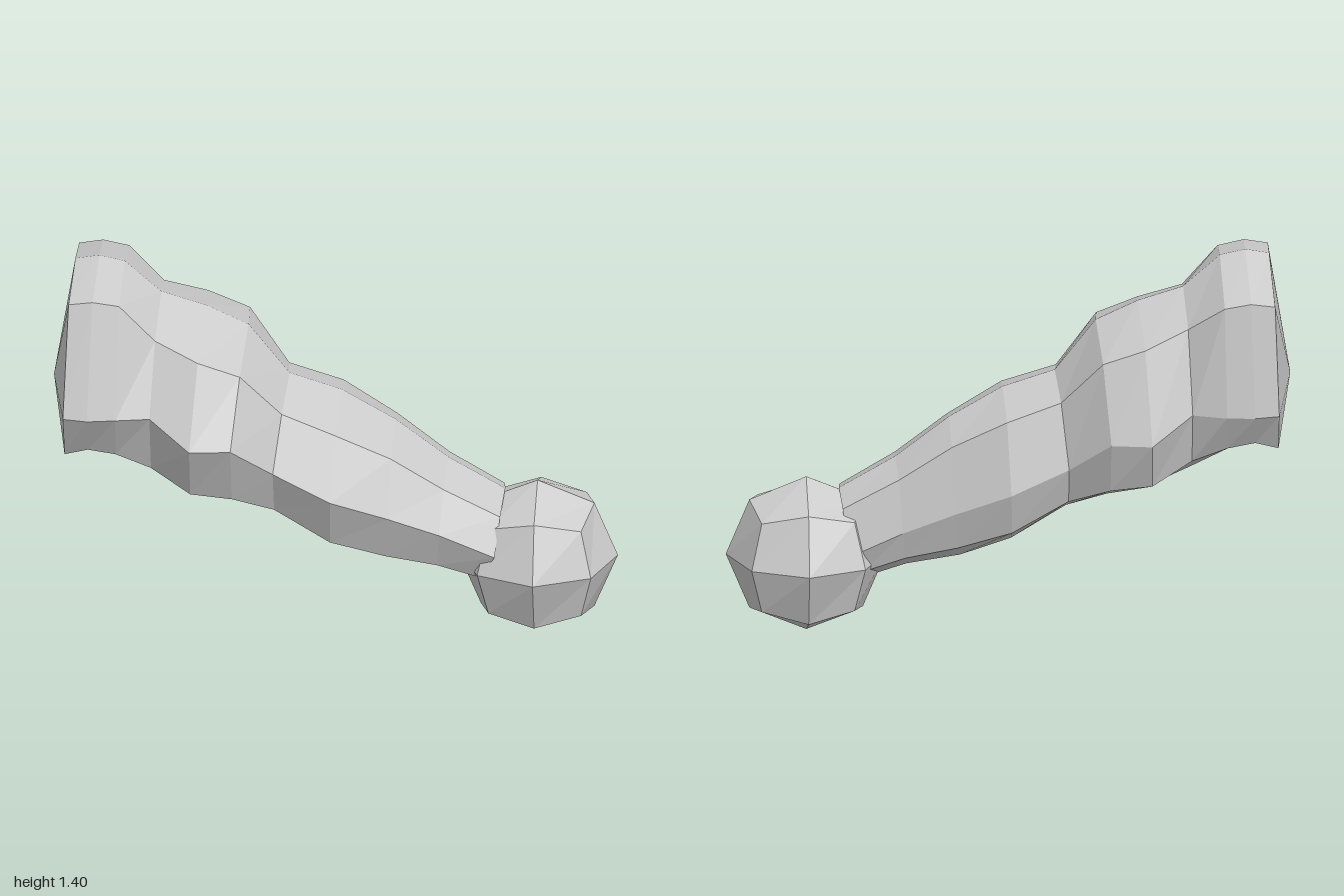
import * as THREE from 'three';

// Arm stations from shoulder to wrist:
// top x,y | front ridge x,y | bottom x,y | front half depth, back half depth | shoulder flag
const STATIONS = [
  [-0.925, 1.385, -0.945, 0.935, -0.945, 0.665, 0.365, 0.385, 1],
  [-0.84, 1.40, -0.86, 0.93, -0.865, 0.70, 0.37, 0.39, 1],
  [-0.75, 1.38, -0.76, 0.93, -0.77, 0.67, 0.355, 0.385, 1],
  [-0.62, 1.265, -0.64, 0.93, -0.64, 0.585, 0.335, 0.345, 0],
  [-0.46, 1.215, -0.495, 0.835, -0.50, 0.52, 0.405, 0.41, 0],
  [-0.31, 1.145, -0.35, 0.835, -0.35, 0.49, 0.39, 0.39, 0],
  [-0.165, 0.96, -0.205, 0.71, -0.205, 0.45, 0.30, 0.28, 0],
  [0.02, 0.90, 0, 0.62, -0.01, 0.33, 0.335, 0.295, 0],
  [0.21, 0.79, 0.20, 0.535, 0.17, 0.27, 0.275, 0.24, 0],
  [0.40, 0.645, 0.38, 0.455, 0.36, 0.24, 0.23, 0.20, 0],
  [0.60, 0.53, 0.575, 0.36, 0.47, 0.205, 0.20, 0.18, 0],
];

const mix = (a, b, t) => a + (b - a) * t;

// Eight-sided cross-section: top, down the front, bottom, up the back
function section([tx, ty, mx, my, bx, by, zf, zb, shoulder]) {
  const up = shoulder ? 0.88 : 0.77;
  const upX = mix(mx, tx, 0.65), upY = mix(my, ty, up);
  const lowX = mix(mx, bx, 0.5), lowY = mix(my, by, 0.67);
  return [
    [tx, ty, -0.02],
    [upX, upY, zf * 0.69],
    [mx, my, zf],
    [lowX, lowY, zf * 0.74],
    [bx, by, -0.01],
    [lowX, lowY, -zb * 0.82],
    [mx, my - 0.04, -zb],
    [upX, upY - (shoulder ? 0.04 : 0), -zb * (shoulder ? 0.9 : 0.8)],
  ];
}

function armGeometry() {
  const rings = STATIONS.map(section);
  const n = 8, last = (rings.length - 1) * n;
  const points = rings.flat();
  const startCap = points.push([-1, 0.935, -0.01]) - 1;
  const endCap = points.push([0.56, 0.37, 0]) - 1;
  const index = [];
  for (let j = 0; j < n; j++) {
    const k = (j + 1) % n;
    for (let i = 0; i < last; i += n) {
      index.push(i + j, i + k, i + n + j, i + k, i + n + k, i + n + j);
    }
    index.push(startCap, k, j, endCap, last + j, last + k);
  }
  const geometry = new THREE.BufferGeometry();
  geometry.setAttribute('position', new THREE.Float32BufferAttribute(points.flat(), 3));
  geometry.setIndex(index);
  geometry.computeVertexNormals();
  return geometry;
}

// Coarse ball: a subdivided cube pushed out to a sphere
function ballGeometry(radius) {
  const geometry = new THREE.BoxGeometry(1, 1, 1, 2, 2, 2);
  const pos = geometry.attributes.position;
  const v = new THREE.Vector3();
  for (let i = 0; i < pos.count; i++) {
    v.fromBufferAttribute(pos, i).setLength(radius);
    pos.setXYZ(i, v.x, v.y, v.z);
  }
  geometry.computeVertexNormals();
  return geometry;
}

export function createModel() {
  const group = new THREE.Group();
  group.name = 'armWithFist';
  const material = new THREE.MeshStandardMaterial({ color: 0xcccccc, flatShading: true });

  // Shoulder, upper arm and forearm
  const arm = new THREE.Mesh(armGeometry(), material);
  arm.name = 'arm';

  // Round fist
  const fist = new THREE.Mesh(ballGeometry(0.285), material);
  fist.name = 'fist';
  fist.position.set(0.715, 0.285, -0.01);

  group.add(arm, fist);
  return group;
}
